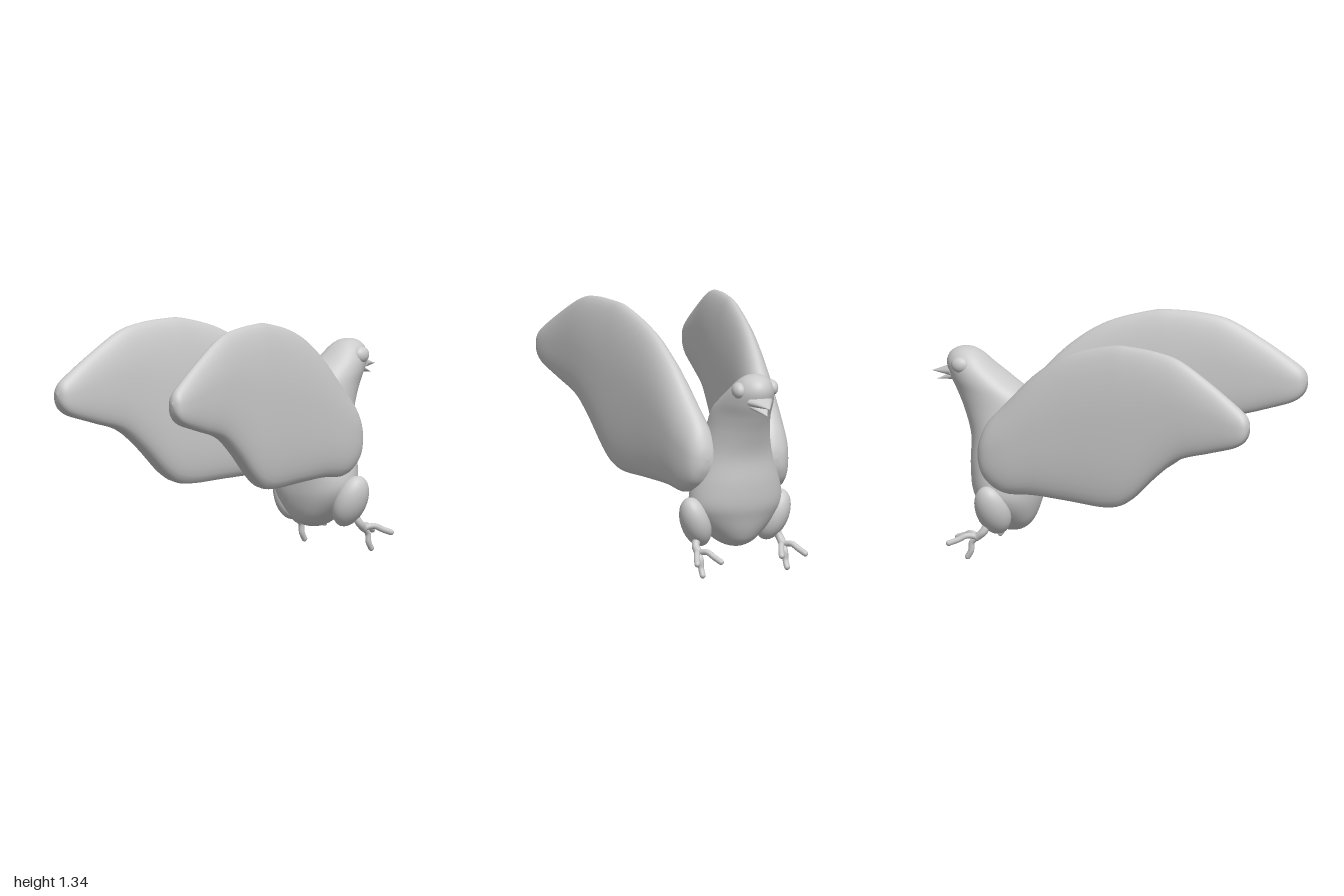
import * as THREE from 'three';

const material = new THREE.MeshStandardMaterial({ color: 0xcccccc });
const V = (x, y, z) => new THREE.Vector3(x, y, z);
const power = (v, e) => Math.sign(v) * Math.abs(v) ** e;

function add(parent, name, geometry) {
  const mesh = new THREE.Mesh(geometry, material);
  mesh.name = name;
  parent.add(mesh);
  return mesh;
}

// Smoothly interpolate a row from a table of section measurements, t in 0..1
function sample(rows, t) {
  const f = t * (rows.length - 1), i = Math.min(Math.floor(f), rows.length - 2), u = f - i;
  const row = (k) => rows[Math.max(0, Math.min(rows.length - 1, k))];
  return rows[0].map((_, c) => {
    const [a, b, d, e] = [row(i - 1)[c], row(i)[c], row(i + 1)[c], row(i + 2)[c]];
    return b + 0.5 * u * (d - a + u * (2 * a - 5 * b + 4 * d - e + u * (3 * (b - d) + e - a)));
  });
}

// Skin a closed surface over cross-sections; point(row, angle) gives [x, y, z]
function loft(rows, steps, sides, point) {
  const pos = [], index = [];
  for (let r = 0; r <= steps; r++) {
    const row = sample(rows, r / steps);
    for (let i = 0; i < sides; i++) pos.push(...point(row, (i / sides) * Math.PI * 2));
  }
  for (let r = 0; r < steps; r++) {
    for (let i = 0; i < sides; i++) {
      const a = r * sides + i, b = r * sides + ((i + 1) % sides);
      index.push(a, a + sides, b, b, a + sides, b + sides);
    }
  }
  const g = new THREE.BufferGeometry();
  g.setAttribute('position', new THREE.Float32BufferAttribute(pos, 3));
  g.setIndex(index);
  g.computeVertexNormals();
  return g;
}

// Body, neck and head: height, front z, back z, half width
const BODY = [
  [0.125, -0.54, -0.54, 0], [0.135, -0.6, -0.48, 0.052], [0.165, -0.655, -0.435, 0.108],
  [0.22, -0.69, -0.405, 0.168], [0.3, -0.72, -0.385, 0.232], [0.38, -0.745, -0.38, 0.26],
  [0.5, -0.757, -0.38, 0.24], [0.65, -0.76, -0.39, 0.192], [0.78, -0.8, -0.4, 0.162],
  [0.88, -0.845, -0.435, 0.146], [0.96, -0.885, -0.54, 0.134], [1.03, -0.905, -0.64, 0.115],
  [1.08, -0.89, -0.7, 0.086], [1.11, -0.85, -0.75, 0.047], [1.12, -0.8, -0.8, 0],
];

function bodyShape() {
  return loft(BODY, 70, 48, ([y, front, back, half], a) => {
    // Section narrower towards the breast, squarer at the back
    const s = Math.sin(a);
    const x = half * power(Math.cos(a), s > 0 ? 0.85 : 1) * (1 + 0.09 * s);
    return [x + 0.005, y, (front + back) / 2 + ((back - front) / 2) * s];
  });
}

// Wing: z, top y, bottom y, half thickness
const WING = [
  [-0.65, 0.64, 0.64, 0], [-0.638, 0.71, 0.565, 0.05], [-0.59, 0.81, 0.485, 0.086],
  [-0.48, 0.93, 0.43, 0.1], [-0.3, 1.115, 0.44, 0.097], [-0.1, 1.25, 0.435, 0.092],
  [0.15, 1.33, 0.43, 0.09], [0.28, 1.34, 0.488, 0.088], [0.44, 1.332, 0.645, 0.082],
  [0.58, 1.3, 0.755, 0.075], [0.76, 1.2, 0.815, 0.065], [0.92, 1.095, 0.868, 0.057],
  [0.98, 1.045, 0.92, 0.04], [1, 0.99, 0.99, 0],
];

function wing(side) {
  return loft(WING, 70, 40, ([z, top, bottom, half], angle) => {
    const a = -angle * side, s = Math.sin(a);
    // Tapered along the top edge, fuller along the bottom
    const x = power(Math.cos(a), s > 0 ? 1.05 : 0.58) * half * (1 + 0.1 * Math.max(0, -s));
    const centre = 0.225 + 0.2 * (z + 0.55) / 1.5;
    return [side * (centre + x), (top + bottom) / 2 + ((top - bottom) / 2) * s, z];
  });
}

// Rounded tube through a few points
function limb(parent, name, points, radius) {
  const curve = new THREE.CatmullRomCurve3(points);
  add(parent, name, new THREE.TubeGeometry(curve, 16, radius, 10));
  for (const end of [points[0], points[points.length - 1]]) {
    add(parent, name + 'End', new THREE.SphereGeometry(radius, 10, 8)).position.copy(end);
  }
}

function leg(side) {
  const g = new THREE.Group();
  g.name = side > 0 ? 'leftLeg' : 'rightLeg';
  const thigh = add(g, 'thigh', new THREE.SphereGeometry(1, 28, 20));
  thigh.scale.set(0.08, 0.147, 0.095);
  thigh.position.set(side * 0.23, 0.283, -0.567);
  thigh.rotation.set(-0.2, 0, -side * 0.36);

  const x = side * 0.25;
  limb(g, 'shank', [V(side * 0.235, 0.2, -0.595), V(x, 0.16, -0.615), V(x, 0.13, -0.65)], 0.022);
  for (const spread of [-1, 1]) {
    limb(g, 'frontToe', [V(x, 0.13, -0.645), V(x + spread * 0.03, 0.14, -0.695),
      V(x + spread * 0.052, 0.118, -0.74), V(x + spread * 0.07, 0.1, -0.785)], 0.016);
  }
  limb(g, 'lowerToe', [V(x, 0.13, -0.645), V(x, 0.1, -0.678), V(x, 0.05, -0.684), V(x, 0.016, -0.703)], 0.016);
  g.position.x = 0.02;
  return g;
}

// Flattened cone pointing forward, one half of the beak
function beakHalf(parent, name, length, width, height, y, z, tilt) {
  const g = new THREE.ConeGeometry(1, 1, 20).rotateX(-Math.PI / 2);
  const m = add(parent, name, g);
  m.scale.set(width, height, length);
  m.position.set(0.01, y, z);
  m.rotation.x = tilt;
}

export function createModel() {
  const bird = new THREE.Group();
  bird.name = 'bird';
  add(bird, 'body', bodyShape());

  add(bird, 'leftWing', wing(1)).position.x = 0.005;
  // The right wing hangs slightly lower and closer to the body
  const rightWing = add(bird, 'rightWing', wing(-1));
  rightWing.position.set(0.01, -0.035, 0);
  rightWing.rotation.y = -0.014;

  for (const side of [1, -1]) {
    const eye = add(bird, side > 0 ? 'leftEye' : 'rightEye', new THREE.SphereGeometry(1, 24, 16));
    eye.scale.set(0.036, 0.044, 0.05);
    eye.position.set(0.006 + side * 0.096, 1.038, -0.8);
    bird.add(leg(side));
  }

  beakHalf(bird, 'upperBeak', 0.13, 0.075, 0.032, 0.973, -0.935, -0.14);
  beakHalf(bird, 'lowerBeak', 0.12, 0.06, 0.024, 0.938, -0.91, -0.3);
  return bird;
}
